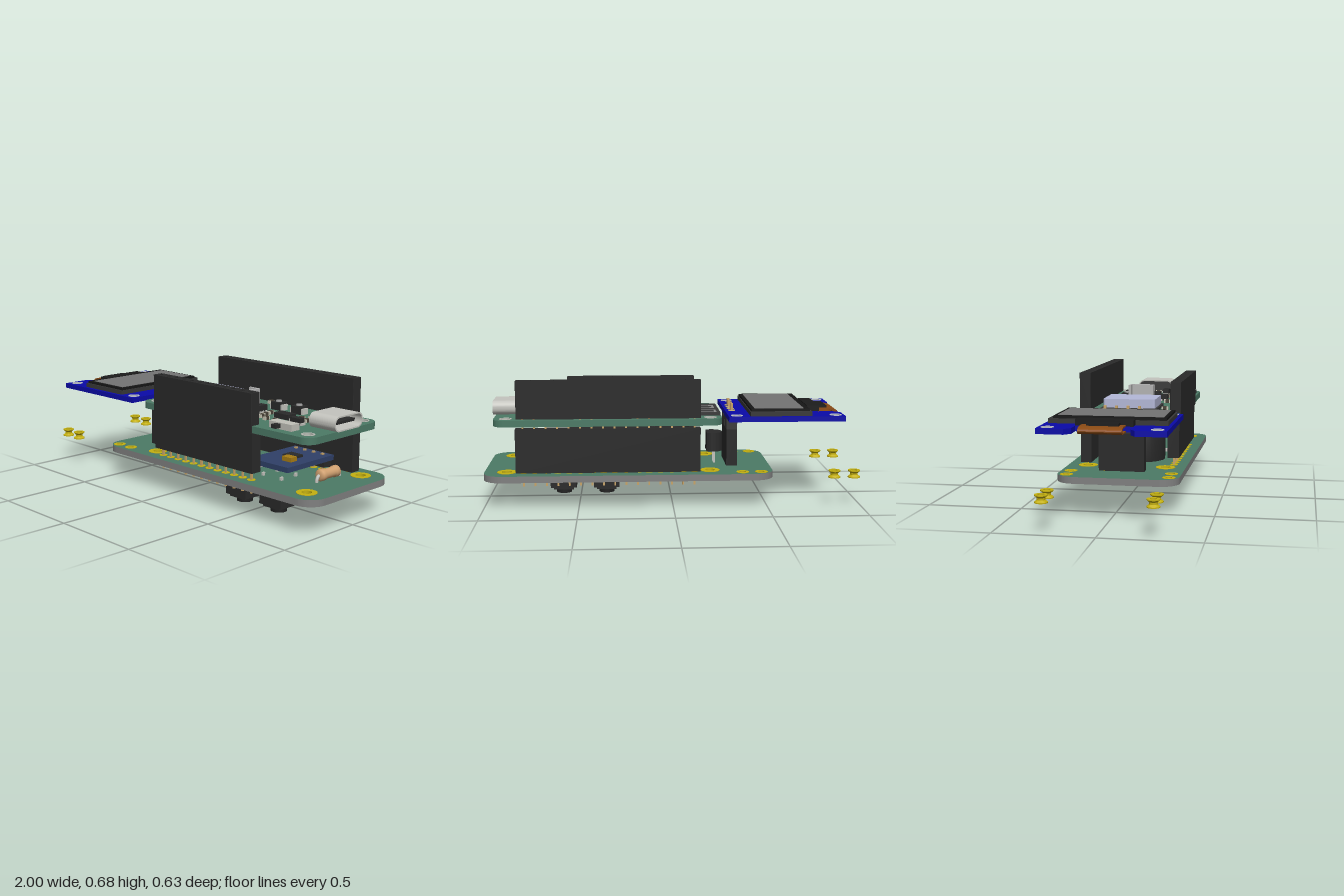
import * as THREE from 'three';
import { toCreasedNormals } from 'three/addons/utils/BufferGeometryUtils.js';

const GREEN = 0x4c7a66, BLACK = 0x2a2a2a, GOLD = 0xc4b010, TAN = 0xc8a468, STEEL = 0xc4c4be, BLUE = 0x0a0aa8;
const PITCH = 0.0603;
const mats = {};
const mat = (c) => (mats[c] ??= new THREE.MeshStandardMaterial({ color: c, side: THREE.DoubleSide }));

function add(parent, name, geo, color, x = 0, y = 0, z = 0) {
  const m = new THREE.Mesh(geo, Array.isArray(color) ? color.map(mat) : mat(color));
  m.name = name;
  m.position.set(x, y, z);
  parent.add(m);
  return m;
}
function group(parent, name) {
  const g = new THREE.Group();
  g.name = name;
  parent.add(g);
  return g;
}
// box given by its limits on each axis
const box = (p, name, color, x0, x1, y0, y1, z0, z1) =>
  add(p, name, new THREE.BoxGeometry(x1 - x0, y1 - y0, z1 - z0), color, (x0 + x1) / 2, (y0 + y1) / 2, (z0 + z1) / 2);
// upright cylinder between two heights
const cyl = (p, name, color, r, x, y0, y1, z, sides = 24) =>
  add(p, name, new THREE.CylinderGeometry(r, r, y1 - y0, sides), color, x, (y0 + y1) / 2, z);

function roundRect(x0, x1, y0, y1, r) {
  const s = new THREE.Shape();
  s.absarc(x1 - r, y1 - r, r, 0, Math.PI / 2);
  s.absarc(x0 + r, y1 - r, r, Math.PI / 2, Math.PI);
  s.absarc(x0 + r, y0 + r, r, Math.PI, Math.PI * 1.5);
  s.absarc(x1 - r, y0 + r, r, Math.PI * 1.5, Math.PI * 2);
  s.closePath();
  return s;
}
// horizontal plate from an x/z shape, with round holes [x, z, r]
function plate(p, name, color, shape, y0, y1, holes = []) {
  for (const [x, z, r] of holes) shape.holes.push(new THREE.Path().absarc(x, z, r, 0, Math.PI * 2, true));
  const g = new THREE.ExtrudeGeometry(shape, { depth: y1 - y0, bevelEnabled: false, curveSegments: 10 });
  return add(p, name, g.rotateX(Math.PI / 2), color, 0, y1, 0);
}
// closed ring with a given half-section of [radius, height] points
function ring(p, name, color, pts, x, z) {
  const v = [...pts, pts[0]].map(([r, y]) => new THREE.Vector2(r, y));
  return add(p, name, toCreasedNormals(new THREE.LatheGeometry(v, 24), 0.5), color, x, 0, z);
}
const flatRing = (p, name, color, ri, ro, x, y0, y1, z) =>
  ring(p, name, color, [[ri, y0], [ro, y0], [ro, y1], [ri, y1]], x, z);

// row of square sockets along x
function socketStrip(p, name, n, x0, y0, y1, z0, z1) {
  const s = roundRect(x0, x0 + n * PITCH, z0, z1, 0.002), zc = (z0 + z1) / 2, h = 0.012;
  for (let i = 0; i < n; i++) {
    const x = x0 + (i + 0.5) * PITCH;
    const q = [[-h, -h], [-h, h], [h, h], [h, -h]].map(([a, b]) => new THREE.Vector2(x + a, zc + b));
    s.holes.push(new THREE.Path(q));
  }
  plate(p, name, BLACK, s, y0, y1);
}
// lead following a few points
function lead(p, pts, r = 0.009) {
  const c = new THREE.CatmullRomCurve3(pts.map((q) => new THREE.Vector3(...q)), false, 'catmullrom', 0.3);
  add(p, 'lead', new THREE.TubeGeometry(c, 20, r, 8), STEEL);
}

const corners = [[-0.2, -0.21], [0.88, -0.21], [-0.2, 0.21], [0.88, 0.21]];

function baseBoard(root) {
  const g = group(root, 'baseBoard');
  const small = [-0.47, -0.37].flatMap((x) => [[x, -0.265], [x, 0.265]]);
  plate(g, 'board', [GREEN, 0x808080], roundRect(-0.535, 1, -0.317, 0.317, 0.1), 0.148, 0.183,
    [...corners.map(([x, z]) => [x, z, 0.027]), ...small.map(([x, z]) => [x, z, 0.018])]);
  for (const [x, z] of corners) flatRing(g, 'mountRing', GOLD, 0.026, 0.052, x, 0.146, 0.185, z);
  for (const [x, z] of small) flatRing(g, 'smallRing', GOLD, 0.017, 0.034, x, 0.146, 0.185, z);

  // paired header rows with their pins
  for (const [n, z] of [[12, 0.245], [16, -0.235]]) {
    for (let i = 0; i < n; i++) {
      const x = -0.145 + (i + 0.5) * PITCH;
      cyl(g, 'pad', GOLD, 0.022, x, 0.146, 0.185, z, 16);
      box(g, 'pin', TAN, x - 0.005, x + 0.005, 0.112, 0.49, z - 0.005, z + 0.005);
    }
  }
  box(g, 'frontSocket', BLACK, -0.145, 0.579, 0.225, 0.43, 0.213, 0.275);
  box(g, 'backSocket', BLACK, -0.145, 0.828, 0.187, 0.42, -0.263, -0.205);

  // buzzer
  const b = group(g, 'buzzer');
  const prof = [[0, 0.187], [0.143, 0.187], [0.143, 0.385], [0.136, 0.402], [0.12, 0.41], [0.03, 0.41], [0.03, 0.39], [0, 0.39]];
  const lathe = new THREE.LatheGeometry(prof.map((q) => new THREE.Vector2(...q)), 40);
  add(b, 'buzzerCase', toCreasedNormals(lathe, 0.7), 0x262626, 0.04, 0, 0.03);
  for (const dx of [-0.09, 0.09]) cyl(b, 'buzzerPin', STEEL, 0.008, 0.04 + dx, 0.12, 0.187, 0.03, 8);

  // transistor with round back and three legs
  const t = group(g, 'transistor');
  const s = new THREE.Shape();
  s.absarc(-0.228, 0, 0.057, Math.PI / 3.2, Math.PI * 2 - Math.PI / 3.2);
  s.closePath();
  plate(t, 'transistorBody', BLACK, s, 0.25, 0.355);
  for (const z of [-0.03, 0, 0.03]) box(t, 'transistorLeg', STEEL, -0.243, -0.233, 0.12, 0.25, z - 0.005, z + 0.005);

  // sensor module on a four-pin row
  const m = group(g, 'sensorModule');
  box(m, 'sensorBoard', 0x2f4068, 0.45, 0.715, 0.235, 0.262, -0.197, 0.162);
  box(m, 'sensorSpacer', BLACK, 0.46, 0.705, 0.203, 0.235, -0.19, -0.13);
  box(m, 'amberPart', 0xa87c14, 0.6, 0.66, 0.262, 0.285, 0.03, 0.077);
  box(m, 'sensorChip', BLACK, 0.55, 0.63, 0.262, 0.274, -0.053, 0.017);
  for (let i = 0; i < 4; i++) {
    const x = 0.49 + i * PITCH;
    box(m, 'sensorPin', TAN, x - 0.007, x + 0.007, 0.112, 0.27, -0.167, -0.153);
    cyl(g, 'pad', GOLD, 0.022, x, 0.146, 0.185, -0.16, 16);
  }

  // resistor lying across the board
  const r = group(g, 'resistor');
  const rp = [[0, -0.073], [0.02, -0.073], [0.03, -0.064], [0.03, -0.04], [0.026, -0.034], [0.026, 0.034], [0.03, 0.04], [0.03, 0.064], [0.02, 0.073], [0, 0.073]];
  add(r, 'resistorBody', new THREE.LatheGeometry(rp.map((q) => new THREE.Vector2(...q)), 24).rotateX(Math.PI / 2), 0xd0a070, 0.805, 0.214, -0.042);
  lead(r, [[0.805, 0.214, 0.02], [0.805, 0.212, 0.036], [0.805, 0.19, 0.046], [0.805, 0.112, 0.046]]);
  lead(r, [[0.805, 0.214, -0.105], [0.805, 0.212, -0.12], [0.805, 0.19, -0.132], [0.805, 0.112, -0.132]]);
}

function underside(root) {
  const g = group(root, 'undersideParts');
  for (const x of [0.357, 0.597]) {
    const b = group(g, 'pushButton');
    box(b, 'buttonBody', BLACK, x - 0.072, x + 0.072, 0.037, 0.12, 0.02, 0.16);
    box(b, 'buttonCollar', BLACK, x - 0.055, x + 0.055, 0.024, 0.037, 0.032, 0.148);
    cyl(b, 'buttonCap', 0x222222, 0.042, x, 0, 0.037, 0.09, 32);
    for (const dx of [-0.062, 0.062]) for (const z of [0.036, 0.143])
      box(b, 'buttonLeg', STEEL, x + dx - 0.006, x + dx + 0.006, 0.088, 0.2, z - 0.008, z + 0.008);
  }
  // surface diode with metal ends
  for (const [name, c, x, len, r] of [['diodeBody', BLACK, 0, 0.08, 0.024], ['diodeEnd', 0xc8c6b4, -0.053, 0.03, 0.026], ['diodeEnd', 0xc8c6b4, 0.053, 0.03, 0.026]])
    add(g, name, new THREE.CylinderGeometry(r, r, len, 24).rotateZ(Math.PI / 2), c, x, 0.12, -0.077);
}

function controller(root) {
  const g = group(root, 'controllerBoard');
  plate(g, 'board', GREEN, roundRect(-0.263, 0.945, -0.265, 0.277, 0.06), 0.434, 0.469, corners.map(([x, z]) => [x, z, 0.027]));
  for (const [x, z] of corners) flatRing(g, 'holeRing', 0xb8bcb4, 0.026, 0.034, x, 0.433, 0.471, z);
  socketStrip(g, 'frontUpperSocket', 12, -0.145, 0.43, 0.632, 0.225, 0.283);
  socketStrip(g, 'backUpperSocket', 16, -0.145, 0.475, 0.675, -0.267, -0.207);

  // radio module with shield and antenna trace
  const w = group(g, 'radioModule');
  box(w, 'radioBoard', 0x3a3a3a, -0.26, 0.14, 0.469, 0.485, -0.158, 0.15);
  plate(w, 'shield', 0xb4b8d8, roundRect(-0.11, 0.12, -0.145, 0.138, 0.012), 0.485, 0.533);
  for (let i = 0; i < 4; i++) {
    const z = -0.14 + i * 0.07;
    box(w, 'antennaTrace', 0x8a8a8a, -0.24, -0.14, 0.485, 0.487, z, z + 0.012);
    if (i < 3) {
      const x = i % 2 ? -0.152 : -0.24;
      box(w, 'antennaTrace', 0x8a8a8a, x, x + 0.012, 0.485, 0.487, z, z + 0.082);
    }
  }

  // power socket: rounded shell, cavity and tongue
  const u = group(g, 'powerSocket');
  const shell = roundRect(-0.107, 0.107, 0.471, 0.547, 0.036);
  shell.holes.push(roundRect(-0.1, 0.1, 0.478, 0.54, 0.03));
  const along = (s, d) => new THREE.ExtrudeGeometry(s, { depth: d, bevelEnabled: false }).rotateY(Math.PI / 2);
  add(u, 'shell', along(shell, 0.16), STEEL, 0.8, 0, 0.004);
  add(u, 'cavityBack', along(roundRect(-0.1, 0.1, 0.478, 0.54, 0.03), 0.02), 0x3c3c3c, 0.802, 0, 0.004);
  box(u, 'tongue', BLACK, 0.82, 0.94, 0.502, 0.516, -0.066, 0.074);

  // battery connector
  const c = group(g, 'batteryConnector');
  box(c, 'connectorBase', 0xb4b4b4, 0.24, 0.31, 0.469, 0.49, -0.068, 0.073);
  box(c, 'connectorWall', 0xb4b4b4, 0.295, 0.31, 0.49, 0.572, -0.068, 0.073);
  for (const z of [-0.068, 0.061]) box(c, 'connectorSide', 0xb4b4b4, 0.24, 0.295, 0.49, 0.572, z, z + 0.012);
  for (let i = 0; i < 4; i++) box(c, 'contact', TAN, 0.225, 0.28, 0.49, 0.5, -0.042 + i * 0.025, -0.034 + i * 0.025);

  // two small tactile buttons
  for (const x of [0.41, 0.55]) {
    box(g, 'tactBody', STEEL, x - 0.042, x + 0.042, 0.469, 0.5, -0.13, -0.085);
    box(g, 'tactFrame', BLACK, x - 0.032, x + 0.032, 0.469, 0.51, -0.135, -0.08);
    cyl(g, 'tactCap', 0xa0a0a0, 0.016, x, 0.51, 0.518, -0.108);
  }
  // slide switch
  box(g, 'switchBody', 0xc0c0b8, 0.655, 0.8, 0.472, 0.505, 0.18, 0.238);
  box(g, 'switchSlider', BLACK, 0.7, 0.73, 0.48, 0.5, 0.238, 0.272);

  // chips: x, z, width, depth, height
  const chips = [[0.39, 0.02, 0.045, 0.07, 0.04], [0.39, 0.105, 0.045, 0.07, 0.04], [0.58, 0.037, 0.095, 0.06, 0.03], [0.705, 0.087, 0.065, 0.036, 0.035]];
  for (const [x, z, a, b, h] of chips) {
    box(g, 'chip', BLACK, x - a / 2, x + a / 2, 0.472, 0.469 + h, z - b / 2, z + b / 2);
    for (const sx of [-1, 1]) for (const k of [-0.3, 0, 0.3])
      box(g, 'chipLeg', STEEL, x + sx * a / 2 - 0.008, x + sx * a / 2 + 0.008, 0.469, 0.48, z + k * b - 0.005, z + k * b + 0.005);
  }
  // small two-ended parts
  const bits = [[0.17, -0.11], [-0.02, 0.18], [0.28, -0.19], [0.29, 0.15], [0.46, 0.01], [0.47, 0.06], [0.48, 0.1], [0.53, 0.12], [0.6, 0.13], [0.66, 0], [0.69, -0.04], [0.71, 0.02], [0.74, -0.13], [0.74, -0.06], [0.77, 0.03]];
  for (const [x, z] of bits) {
    box(g, 'smallPartEnds', 0xc8c6b4, x - 0.009, x + 0.009, 0.469, 0.486, z - 0.018, z + 0.018);
    box(g, 'smallPartBody', 0x4a4238, x - 0.01, x + 0.01, 0.469, 0.488, z - 0.01, z + 0.01);
  }
}

function display(root) {
  const g = group(root, 'display');
  // board with a stepped notch for the ribbon
  const s = new THREE.Shape([[-0.905, -0.305], [-0.29, -0.305], [-0.29, 0.315], [-0.905, 0.315], [-0.905, 0.165], [-0.87, 0.14],
    [-0.79, 0.14], [-0.79, -0.14], [-0.87, -0.14], [-0.905, -0.17]].map((q) => new THREE.Vector2(...q)));
  const holes = [-0.86, -0.335].flatMap((x) => [[x, -0.258], [x, 0.265]]);
  plate(g, 'board', BLUE, s, 0.458, 0.485, holes.map(([x, z]) => [x, z, 0.022]));
  for (const [x, z] of holes) flatRing(g, 'holeRing', 0xb8bcc8, 0.021, 0.032, x, 0.457, 0.487, z);

  // screen layers
  box(g, 'screenBase', 0x383838, -0.73, -0.405, 0.485, 0.508, -0.288, 0.297);
  box(g, 'screenGlass', 0x161616, -0.72, -0.41, 0.508, 0.52, -0.235 - 0.03, 0.288);
  box(g, 'screenArea', 0x747474, -0.69, -0.43, 0.52, 0.522, -0.25, 0.27);
  box(g, 'ribbonTape', 0x1c1c1c, -0.795, -0.73, 0.487, 0.516, -0.14, 0.14);
  box(g, 'ribbonTapeStep', 0x1c1c1c, -0.85, -0.795, 0.495, 0.506, -0.075, 0.08);

  // folded ribbon, swept across z
  const f = new THREE.Shape();
  f.moveTo(-0.74, 0.495);
  f.lineTo(-0.86, 0.495);
  f.quadraticCurveTo(-0.905, 0.49, -0.905, 0.475);
  f.quadraticCurveTo(-0.9, 0.46, -0.87, 0.46);
  f.lineTo(-0.785, 0.46);
  f.lineTo(-0.785, 0.466);
  f.lineTo(-0.87, 0.466);
  f.quadraticCurveTo(-0.897, 0.475, -0.86, 0.488);
  f.lineTo(-0.74, 0.488);
  add(g, 'ribbon', new THREE.ExtrudeGeometry(f, { depth: 0.21, bevelEnabled: false }), 0x8a4a14, 0, 0, -0.105);

  // four-pin connection to the base
  box(g, 'socket', BLACK, -0.355, -0.297, 0.185, 0.385, -0.12, 0.12);
  for (let i = 0; i < 4; i++) {
    const z = (i - 1.5) * PITCH;
    box(g, 'pinBlock', 0x3a3a3a, -0.355, -0.297, 0.385, 0.458, z - 0.027, z + 0.027);
    box(g, 'pin', TAN, -0.333, -0.319, 0.44, 0.525, z - 0.007, z + 0.007);
    box(g, 'socketLeg', TAN, -0.331, -0.321, 0.118, 0.19, z - 0.005, z + 0.005);
    cyl(g, 'solderRing', 0xc8b878, 0.02, -0.326, 0.457, 0.488, z, 16);
    cyl(g, 'pad', GOLD, 0.022, -0.326, 0.146, 0.1855, z, 16);
  }
}

export function createModel() {
  const root = new THREE.Group();
  root.name = 'electronicsKit';
  baseBoard(root);
  underside(root);
  controller(root);
  display(root);
  // loose spool-shaped eyelets
  const spool = [[0.017, 0.147], [0.032, 0.147], [0.032, 0.152], [0.02, 0.162], [0.02, 0.172], [0.032, 0.182], [0.032, 0.187], [0.017, 0.187]];
  for (const x of [-0.968, -0.862]) for (const z of [-0.263, 0.263]) ring(root, 'eyelet', GOLD, spool, x, z);
  return root;
}
